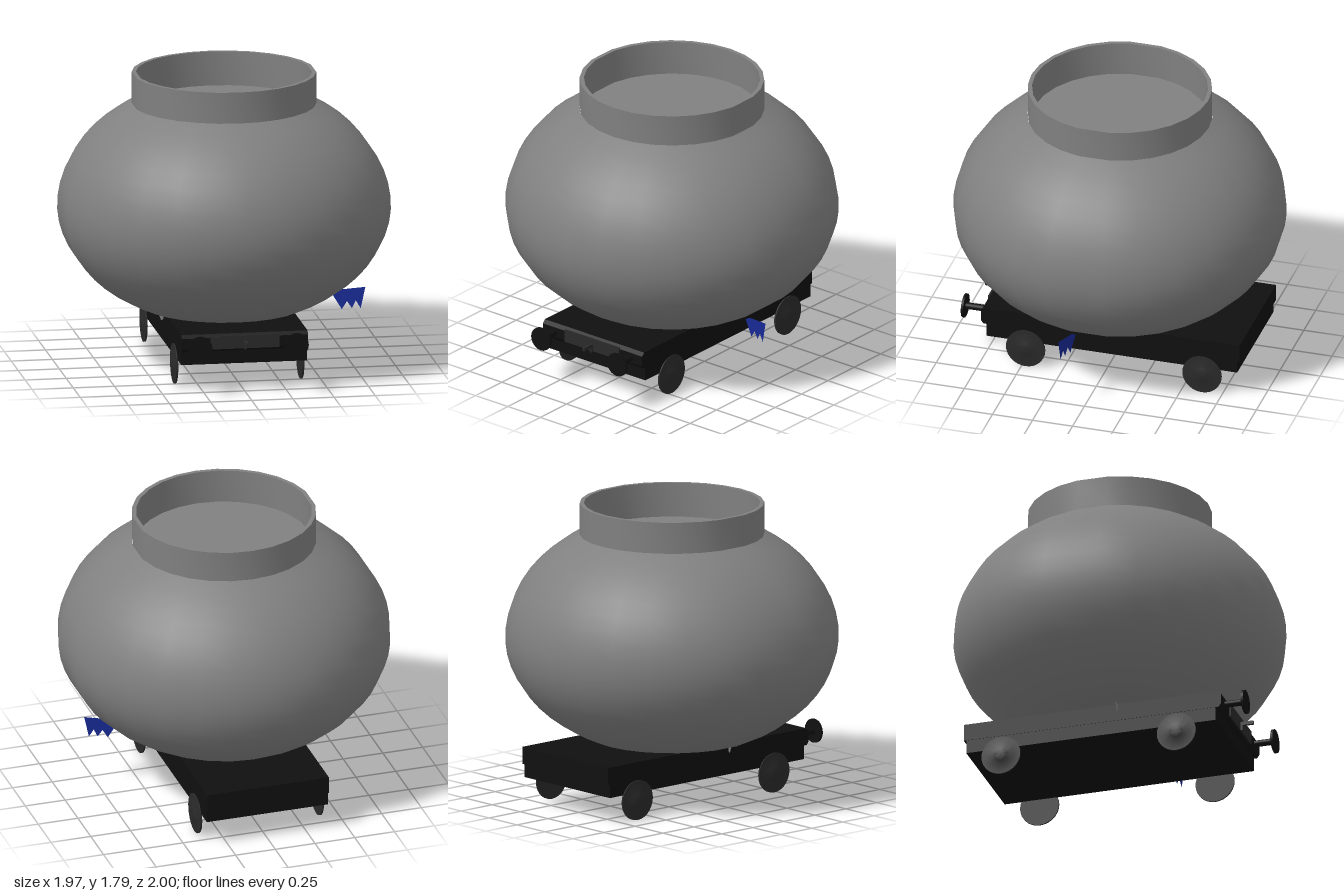
import * as THREE from 'three';
import { toCreasedNormals } from 'three/addons/utils/BufferGeometryUtils.js';

const material = (color, side = THREE.FrontSide) =>
  new THREE.MeshStandardMaterial({ color, side, roughness: 0.9 });

export function createModel() {
  const model = new THREE.Group();
  const grey = material(0x808080);
  const black = material(0x101010);
  const dark = material(0x2a2a2a);
  const blue = material(0x172a94, THREE.DoubleSide);
  const greyThin = material(0x808080, THREE.DoubleSide);

  const add = (name, geometry, mat, x = 0, y = 0, z = 0, parent = model) => {
    const mesh = new THREE.Mesh(geometry, mat);
    mesh.name = name;
    mesh.position.set(x, y, z);
    parent.add(mesh);
    return mesh;
  };
  const box = (name, w, h, d, mat, x, y, z) =>
    add(name, new THREE.BoxGeometry(w, h, d), mat, x, y, z);
  const lathe = (points, sides) =>
    new THREE.LatheGeometry(points.map(([r, y]) => new THREE.Vector2(r, y)), sides);

  // Round parts of the bowl: 26 sides, with a wider flat side at each end of x
  const bowlLathe = (points) => {
    const g = lathe(points, 26);
    const p = g.attributes.position;
    for (let i = 0; i < p.count; i++) {
      const x = p.getX(i), z = p.getZ(i);
      const r = Math.hypot(x, z);
      const a = Math.atan2(Math.abs(x), Math.abs(z)) * 0.962;
      p.setX(i, Math.sign(x) * r * Math.sin(a));
      p.setZ(i, Math.sign(z) * r * Math.cos(a));
    }
    return toCreasedNormals(g, 0.6);
  };

  // Bowl profile: two elliptic arcs meeting at the widest line
  const MIDDLE = 0.97, STEPS = 18;
  const profile = [[0.001, 0.36]];
  const low = -Math.asin(0.61 / 0.7), high = Math.asin(0.63 / 0.757);
  for (let i = 0; i <= STEPS; i++) {
    const t = low + (high - low) * i / STEPS;
    profile.push([Math.cos(t), MIDDLE + Math.sin(t) * (t < 0 ? 0.7 : 0.757)]);
  }
  const bowl = new THREE.Group();
  bowl.name = 'bowl';
  model.add(bowl);
  add('bowlBody', bowlLathe(profile), grey, 0, 0, 0, bowl);
  add('bowlCollar', bowlLathe([[0.553, 1.595], [0.553, 1.79], [0.528, 1.79], [0.528, 1.575]]), grey, 0, 0, 0, bowl);
  add('bowlFill', bowlLathe([[0.55, 1.582], [0.001, 1.582]]), grey, 0, 0, 0, bowl);

  // Flat wagon chassis; the deck's front corners are bevelled
  const deckSide = new THREE.Shape([[-0.86, 0.25], [0.74, 0.25], [0.755, 0.27], [0.755, 0.335],
    [0.735, 0.355], [-0.86, 0.355]].map(([z, y]) => new THREE.Vector2(-z, y)));
  add('deck', new THREE.ExtrudeGeometry(deckSide, { depth: 0.766, bevelEnabled: false })
    .rotateY(Math.PI / 2), black, -0.383);
  box('underframe', 0.762, 0.085, 1.567, black, 0, 0.2095, -0.0615);
  box('frontPlate', 0.42, 0.08, 0.01, dark, 0, 0.305, 0.756);

  // Coupling hook
  box('hookBracket', 0.016, 0.05, 0.014, dark, 0, 0.285, 0.766);
  box('hookShank', 0.016, 0.022, 0.08, dark, 0, 0.302, 0.8);

  for (const side of [-1, 1]) {
    // Buffers at the front end
    const buffer = new THREE.Group();
    buffer.name = side > 0 ? 'leftBuffer' : 'rightBuffer';
    buffer.position.set(side * 0.293, 0.302, 0);
    model.add(buffer);
    for (const [name, r, z0, z1] of [['bufferShaft', 0.02, 0.74, 0.875], ['bufferHead', 0.073, 0.873, 0.887]]) {
      add(name, new THREE.CylinderGeometry(r, r, z1 - z0, 20).rotateX(Math.PI / 2),
        black, 0, 0, (z0 + z1) / 2, buffer);
    }

    // Thin disc wheels with a low domed hub facing outwards
    for (const z of [0.476, -0.626]) {
      const wheel = add('wheel', toCreasedNormals(lathe([
        [0.001, -0.006], [0.122, -0.006], [0.122, 0.004], [0.05, 0.006],
        [0.038, 0.011], [0.02, 0.014], [0.001, 0.015],
      ], 28), 0.6), dark, side * 0.384, 0.122, z);
      wheel.rotation.z = -side * Math.PI / 2;
    }
  }

  // Thin pieces hanging from the bowl, swept in z as they run outwards
  const flap = (name, points, mat, z0, slope) => {
    const shape = new THREE.Shape(points.map(([x, y]) => new THREE.Vector2(x, y)));
    const g = new THREE.ShapeGeometry(shape);
    const p = g.attributes.position;
    for (let i = 0; i < p.count; i++) p.setZ(i, z0 + slope * (p.getX(i) - points[0][0]));
    g.computeVertexNormals();
    add(name, g, mat);
  };
  flap('blueJaggedFin', [[0.64, 0.42], [0.698, 0.325], [0.728, 0.375], [0.757, 0.333],
    [0.78, 0.38], [0.808, 0.333], [0.835, 0.465], [0.68, 0.445]], blue, 0.088, 0.26);
  flap('smallGreyFlap', [[-0.43, 0.38], [-0.4, 0.3], [-0.385, 0.31], [-0.385, 0.38]], greyThin, 0.1, 0.2);

  return model;
}
